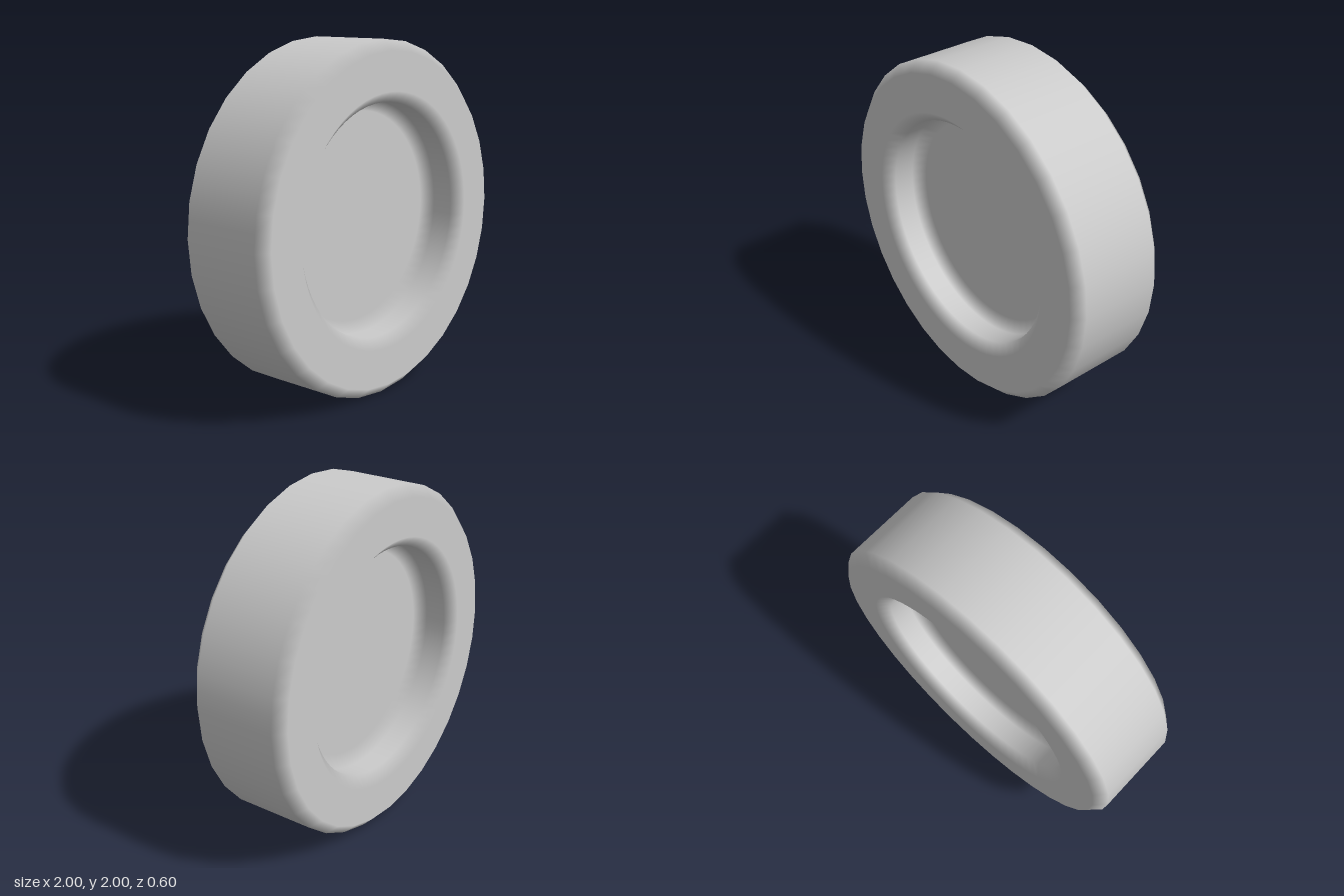
import * as THREE from 'three';

const SEGMENTS = 64; // around the recess; the tread has half as many sides
const CHORD = Math.cos((Math.PI * 2) / SEGMENTS);

// Cross-section (radius, depth) of one half: consecutive pairs bound the flat
// bands (floor, recess wall, face, tread); the gaps between pairs are bevels.
const half = [
  [0, -0.06], [0.6, -0.06],
  [0.66, -0.12], [0.66, -0.24],
  [0.72, -0.3], [0.94, -0.3],
  [1, -0.24],
];

// Revolve the profile, keeping flat bands flat and shading only across the bevels
function bevelledLathe(points) {
  const geometry = new THREE.LatheGeometry(points, SEGMENTS);
  const { position, normal } = geometry.attributes;
  const n = points.length;
  for (let i = 0; i <= SEGMENTS; i++) {
    const phi = (i / SEGMENTS) * Math.PI * 2;
    for (let j = 0; j < n; j++) {
      const v = i * n + j;
      const k = j - (j % 2);
      const d = points[k + 1].clone().sub(points[k]).normalize();
      normal.setXYZ(v, d.y * Math.sin(phi), -d.x, d.y * Math.cos(phi));
      // Pull every other outer point onto the chord for the coarser tread
      if (i % 2 && points[j].x > 0.9) {
        position.setX(v, position.getX(v) * CHORD);
        position.setZ(v, position.getZ(v) * CHORD);
      }
    }
  }
  return geometry;
}

export function createModel() {
  const group = new THREE.Group();
  group.name = 'recessedDisc';

  // Mirror the half section to get the same recess on front and back
  const mirrored = half.map(([r, z]) => [r, -z]).reverse();
  const profile = [...half, ...mirrored].map(([r, z]) => new THREE.Vector2(r, z));

  const geometry = bevelledLathe(profile);
  geometry.rotateX(Math.PI / 2);

  const wheel = new THREE.Mesh(geometry, new THREE.MeshStandardMaterial({ color: 0xcccccc }));
  wheel.name = 'wheel';
  wheel.position.y = 1;
  group.add(wheel);
  return group;
}
